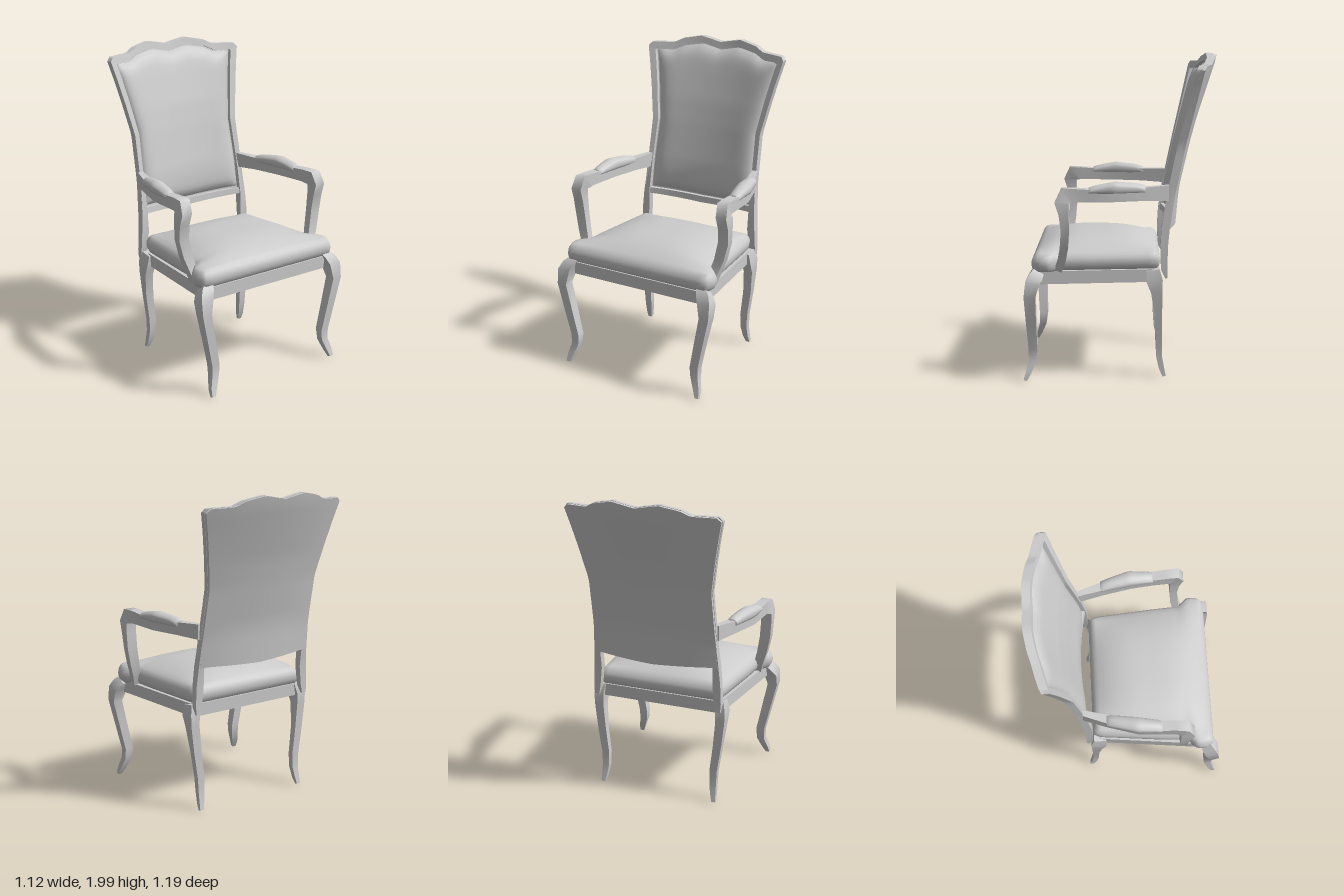
import * as THREE from 'three';
import { mergeVertices } from 'three/addons/utils/BufferGeometryUtils.js';

const material = new THREE.MeshStandardMaterial({ color: 0xcccccc });

function add(group, name, geometry) {
  const mesh = new THREE.Mesh(geometry, material);
  mesh.name = name;
  group.add(mesh);
}

// Linear interpolation of table rows [key, value], keys ascending
function at(table, key) {
  if (key <= table[0][0]) return table[0][1];
  for (let i = 1; i < table.length; i++) {
    const [k0, v0] = table[i - 1], [k1, v1] = table[i];
    if (key <= k1) return v0 + (v1 - v0) * (key - k0) / (k1 - k0);
  }
  return table[table.length - 1][1];
}

// A subdivided box (-1..1 on each axis) with its vertices moved by a rule
function warpBox(nx, ny, nz, rule, smooth = false) {
  let g = new THREE.BoxGeometry(2, 2, 2, nx, ny, nz);
  const p = g.attributes.position;
  for (let i = 0; i < p.count; i++) p.setXYZ(i, ...rule(p.getX(i), p.getY(i), p.getZ(i)));
  if (smooth) {
    g.deleteAttribute('uv');
    g.deleteAttribute('normal');
    g = mergeVertices(g, 1e-5);
  }
  g.computeVertexNormals();
  return g;
}

// Square bar along points [x, y, z, width, depth]; side mirrors the path in x
function bar(points, side) {
  const n = points.length - 1;
  return warpBox(1, n, 1, (u, v, w) => {
    const i = Math.round((v + 1) / 2 * n);
    const [x, y, z, width, depth] = points[i];
    const a = points[Math.max(i - 1, 0)], b = points[Math.min(i + 1, n)];
    const ty = b[1] - a[1], tz = b[2] - a[2], len = Math.hypot(ty, tz);
    const d = w * depth / 2 / len;
    return [side * x + u * width / 2, y - tz * d, z + ty * d];
  });
}

// Half outline of the back from bottom centre to top centre: outer x, y, inner x, y
const outline = [
  [0, 0.93, 0, 0.972], [0.415, 0.945, 0.38, 0.982], [0.407, 1.2, 0.375, 1.2],
  [0.403, 1.45, 0.367, 1.45], [0.442, 1.66, 0.402, 1.66], [0.472, 1.8, 0.43, 1.8],
  [0.5, 1.915, 0.452, 1.893], [0.48, 1.94, 0.44, 1.902], [0.33, 1.945, 0.34, 1.902],
  [0.27, 1.975, 0.268, 1.935], [0.145, 2.0, 0.135, 1.957], [0, 1.972, 0, 1.93],
];
const edgeTable = (cx) => ({
  width: outline.slice(1, 7).map((r) => [r[cx + 1], r[cx]]),
  top: outline.slice(6).reverse().map((r) => [r[cx], r[cx + 1]]),
  bottom: outline.slice(0, 2).map((r) => [r[cx], r[cx + 1]]),
});
const outer = edgeTable(0), inner = edgeTable(2);

// Front surface of the raked, hollow back
const rake = [[0.9, -0.25], [1.13, -0.282], [1.45, -0.348], [1.93, -0.46], [2.0, -0.475]];
const hollow = [[0.93, 0.052], [1.2, 0.037], [1.6, 0.048], [1.95, 0.08]];
function backZ(x, y) {
  const s = x / at(outer.width, y);
  return at(rake, y) - at(hollow, y) * (1 - s * s);
}

// Point inside an outline for s in -1..1 across and v in -1..1 upwards
function inOutline(e, s, v, inset) {
  const x0 = Math.abs(s) * e.top[e.top.length - 1][0];
  const low = at(e.bottom, x0) + inset, high = at(e.top, x0) - inset;
  const y = low + (high - low) * (v + 1) / 2;
  return [s * (at(e.width, y) - inset), y];
}

function addBack(chair) {
  // Moulded rim, a closed loop around the back
  const loop = [...outline, ...outline.slice(0, -1).reverse().map(([a, b, c, d]) => [-a, b, -c, d])];
  const n = loop.length - 1;
  add(chair, 'backRim', warpBox(1, n * 4, 1, (u, v, w) => {
    const k = (v + 1) / 2 * n, i = Math.min(Math.floor(k + 1e-6), n - 1), c = u > 0 ? 0 : 2;
    const mix = (j) => loop[i][j] + (loop[i + 1][j] - loop[i][j]) * (k - i);
    const x = mix(c), y = mix(c + 1);
    return [x, y, backZ(x, y) - (w > 0 ? 0 : 0.03)];
  }));
  add(chair, 'backBoard', warpBox(40, 24, 1, (s, v, w) => {
    const [x, y] = inOutline(outer, s, v, 0.002);
    return [x, y, backZ(x, y) - (w > 0 ? 0.025 : 0.05)];
  }));
  add(chair, 'backCushion', warpBox(36, 32, 1, (s, v, w) => {
    const [x, y] = inOutline(inner, s, v, 0.01);
    const puff = (1 - Math.abs(s) ** 10) * (1 - Math.abs(v) ** 16);
    return [x, y, backZ(x, y) + (w > 0 ? -0.018 + 0.036 * puff : -0.03)];
  }, true));
}

function addSeat(chair) {
  // Frame with chamfered corners
  const half = [[0.45, 0.525], [0.49, 0.48], [0.42, -0.2], [0.39, -0.24]];
  const ring = [...half, ...half.slice().reverse().map(([x, z]) => [-x, z])];
  const frame = new THREE.ExtrudeGeometry(
    new THREE.Shape(ring.map(([x, z]) => new THREE.Vector2(x, z))), { depth: 0.08, bevelEnabled: false });
  frame.rotateX(Math.PI / 2).translate(0, 0.7, 0);
  add(chair, 'seatFrame', frame);

  // Crowned cushion, narrowed behind the arm posts
  const width = [[-0.25, 0.4], [-0.2, 0.42], [0.2, 0.458], [0.36, 0.468], [0.4, 0.505],
    [0.43, 0.53], [0.49, 0.525], [0.535, 0.495]];
  const inset = [[-1, 0.02], [-0.6, 0.004], [0, 0], [0.5, 0.006], [1, 0.03]];
  const fall = (a) => 1 - Math.abs(a) ** 3;
  add(chair, 'seatCushion', warpBox(24, 6, 36, (s, h, t) => {
    const pull = at(inset, h), z = 0.143 + t * (0.392 - pull);
    const top = 0.81 + 0.075 * fall(s) * fall(t);
    return [s * (at(width, z) - pull), 0.7 + (top - 0.7) * (h + 1) / 2, z];
  }, true));
}

// Paths for one side: x, y, z, width, depth
const bars = {
  FrontLeg: [[0.482, 0.012, 0.582, 0.026, 0.022], [0.47, 0.06, 0.562, 0.042, 0.035],
    [0.446, 0.13, 0.538, 0.05, 0.045], [0.443, 0.2, 0.533, 0.055, 0.055],
    [0.482, 0.38, 0.54, 0.06, 0.062], [0.52, 0.55, 0.545, 0.065, 0.07],
    [0.51, 0.635, 0.528, 0.085, 0.085], [0.488, 0.675, 0.505, 0.085, 0.085],
    [0.47, 0.7, 0.49, 0.07, 0.07]],
  BackLeg: [[0.39, 0.012, -0.278, 0.026, 0.02], [0.383, 0.06, -0.262, 0.036, 0.032],
    [0.377, 0.13, -0.247, 0.045, 0.036], [0.378, 0.22, -0.243, 0.05, 0.04],
    [0.402, 0.4, -0.24, 0.055, 0.045], [0.418, 0.56, -0.228, 0.06, 0.07],
    [0.418, 0.63, -0.215, 0.065, 0.1], [0.405, 0.695, -0.205, 0.06, 0.08]],
  BackPost: [[0.415, 0.645, -0.288, 0.03, 0.015], [0.412, 0.7, -0.274, 0.045, 0.04],
    [0.403, 0.83, -0.272, 0.052, 0.045], [0.4, 0.95, -0.281, 0.04, 0.05],
    [0.391, 1.15, -0.312, 0.032, 0.045]],
  Arm: [[0.455, 0.7, 0.375, 0.06, 0.05], [0.475, 0.77, 0.35, 0.06, 0.05],
    [0.5, 0.85, 0.335, 0.065, 0.05], [0.522, 0.96, 0.326, 0.07, 0.05],
    [0.527, 1.06, 0.333, 0.07, 0.06], [0.525, 1.13, 0.345, 0.07, 0.085],
    [0.515, 1.17, 0.325, 0.07, 0.1], [0.508, 1.174, 0.27, 0.065, 0.08],
    [0.503, 1.17, 0.18, 0.065, 0.075], [0.492, 1.17, 0.04, 0.075, 0.075],
    [0.445, 1.172, -0.15, 0.058, 0.08], [0.4, 1.172, -0.3, 0.038, 0.095]],
};

// Padded arm rest following the bend of the arm
function armPad(side) {
  const centre = [[-0.155, 0.45], [0.03, 0.491], [0.185, 0.502]];
  const half = [[-0.155, 0.036], [0.03, 0.049], [0.185, 0.037]];
  const crown = [[-0.155, 1.232], [-0.1, 1.24], [0.03, 1.252], [0.185, 1.225]];
  return warpBox(6, 4, 16, (u, h, t) => {
    const z = 0.015 + t * 0.17, w = at(half, z) * (1 - 0.12 * h * h);
    const top = at(crown, z) - 0.016 * u * u - 0.008 * t ** 6;
    return [side * at(centre, z) + u * w, 1.185 + (top - 1.185) * (h + 1) / 2, z];
  }, true);
}

export function createModel() {
  const chair = new THREE.Group();
  chair.name = 'armchair';
  addBack(chair);
  addSeat(chair);
  for (const [label, side] of [['left', 1], ['right', -1]]) {
    for (const [part, points] of Object.entries(bars)) add(chair, label + part, bar(points, side));
    add(chair, label + 'ArmPad', armPad(side));
  }
  return chair;
}
